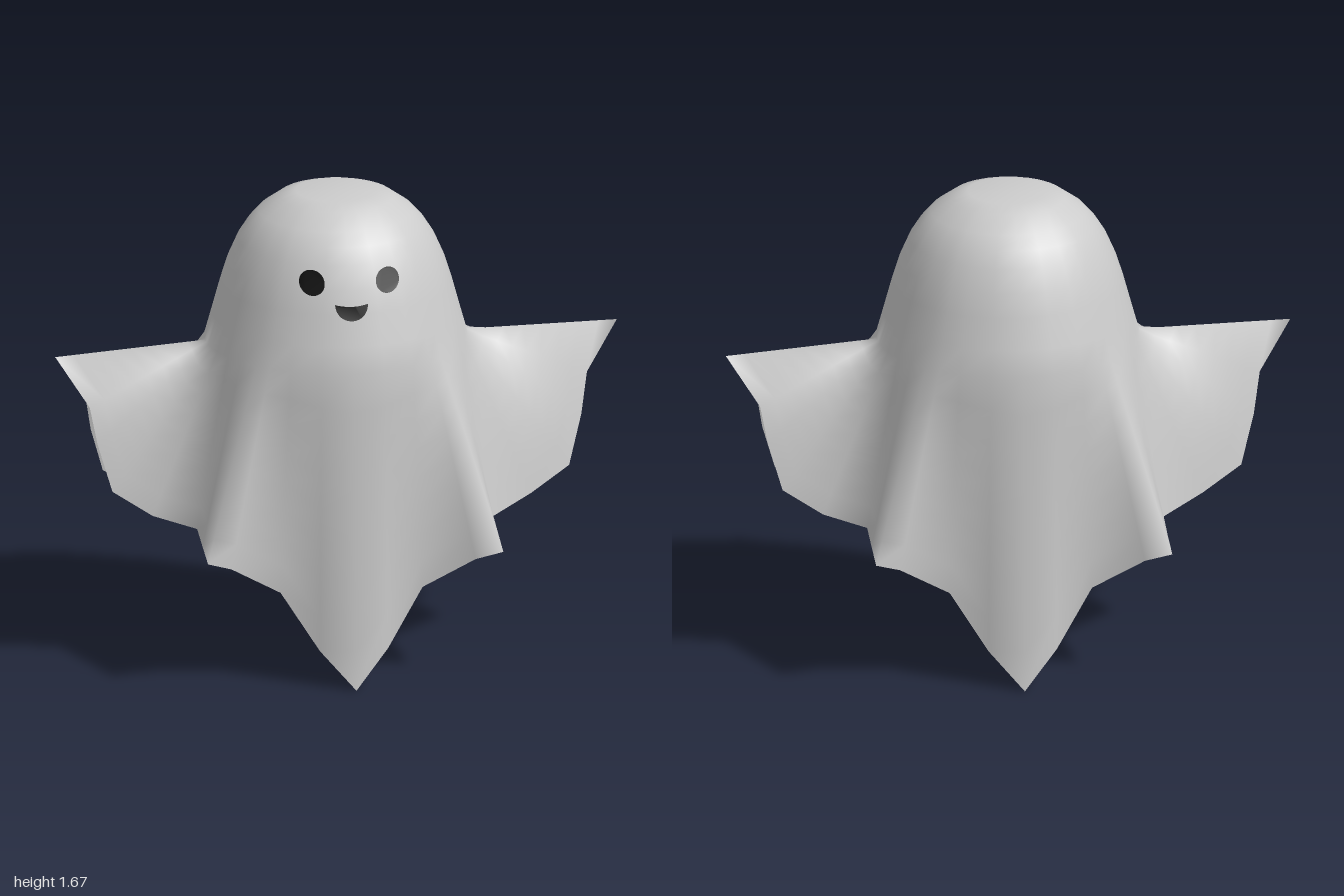
import * as THREE from 'three';

// Round head profile, crown to shoulder: [radius, height]
const HEAD = [[0, 1.67], [0.14, 1.67], [0.2, 1.65], [0.27, 1.6], [0.31, 1.555], [0.345, 1.5],
  [0.38, 1.42], [0.405, 1.34], [0.435, 1.23], [0.46, 1.14]];

// Folds of half the sheet, front tip to back: [angle at the shoulder (90 = front), hem x, y, z]
const FRONT = [[90, 0, 0, 0.525], [76, 0.12, 0.13, 0.46], [62, 0.25, 0.33, 0.4],
  [52, 0.43, 0.44, 0.45], [45, 0.52, 0.48, 0.505]];
const SIDE = [[36, 0.52, 0.5, 0.36], [27, 0.52, 0.52, 0.225]];
const ARM = [[18, 0.67, 0.57, 0.13], [12, 0.81, 0.65, 0.08], [7, 0.86, 0.82, 0.03],
  [3, 0.885, 0.96, -0.01], [0, 1, 1.125, -0.08], [-3, 0.885, 0.95, -0.13],
  [-7, 0.86, 0.82, -0.15], [-12, 0.81, 0.65, -0.165], [-18, 0.67, 0.56, -0.18]];
const DROP_ROWS = 8;

const flipZ = (list) => list.map(([a, x, y, z]) => [-a, x, y, -z]).reverse();

function sheetGeometry() {
  const half = [...FRONT, ...SIDE, ...ARM, ...flipZ(SIDE), ...flipZ(FRONT.slice(1))];
  // the other half is the same, turned by 180 degrees
  const folds = [...half, ...half.map(([a, x, y, z]) => [a + 180, -x, y, -z])];
  const n = folds.length;
  const rows = HEAD.length + DROP_ROWS;
  const pos = [], index = [];
  const shoulder = new THREE.Vector3(), hem = new THREE.Vector3(), p = new THREE.Vector3();
  for (let i = 0; i < rows; i++) {
    for (const [deg, x, y, z] of folds) {
      const a = THREE.MathUtils.degToRad(deg);
      const [r, h] = HEAD[Math.min(i, HEAD.length - 1)];
      shoulder.set(r * Math.cos(a), h, r * Math.sin(a));
      const t = Math.max(0, i - HEAD.length + 1) / DROP_ROWS;
      p.lerpVectors(shoulder, hem.set(x, y, z), t);
      pos.push(p.x, p.y, p.z);
    }
  }
  for (let i = 0; i < rows - 1; i++) {
    for (let j = 0; j < n; j++) {
      const k = (j + 1) % n;
      const a = i * n + j, b = a + n, c = i * n + k, d = c + n;
      if (i > 0) index.push(a, b, c);
      index.push(b, d, c);
    }
  }
  const geo = new THREE.BufferGeometry();
  geo.setAttribute('position', new THREE.Float32BufferAttribute(pos, 3));
  geo.setIndex(index);
  geo.computeVertexNormals();
  return geo;
}

// Head radius at a given height
function headRadius(y) {
  for (let i = 1; i < HEAD.length - 1; i++) {
    const [r0, y0] = HEAD[i], [r1, y1] = HEAD[i + 1];
    if (y <= y0 && y >= y1) return r0 + (r1 - r0) * (y0 - y) / (y0 - y1);
  }
  return HEAD[HEAD.length - 1][0];
}

// Lays a flat outline onto the front of the head
function facePatch(name, shape, material) {
  const geo = new THREE.ShapeGeometry(shape, 24);
  const p = geo.attributes.position;
  for (let i = 0; i < p.count; i++) {
    const x = p.getX(i), r = headRadius(p.getY(i));
    p.setZ(i, Math.sqrt(r * r - x * x) + 0.008);
  }
  geo.computeVertexNormals();
  const mesh = new THREE.Mesh(geo, material);
  mesh.name = name;
  return mesh;
}

export function createModel() {
  const group = new THREE.Group();
  group.name = 'ghost';

  // Draped sheet with arms and pointed hem
  const cloth = new THREE.MeshStandardMaterial({ color: 0xcccccc, side: THREE.DoubleSide });
  const sheet = new THREE.Mesh(sheetGeometry(), cloth);
  sheet.name = 'sheet';
  group.add(sheet);

  // Eyes
  const black = new THREE.MeshStandardMaterial({ color: 0x080808, side: THREE.DoubleSide });
  for (const [name, s] of [['leftEye', 1], ['rightEye', -1]]) {
    const eye = new THREE.Shape().absellipse(s * 0.133, 1.446, 0.043, 0.042, 0, Math.PI * 2);
    group.add(facePatch(name, eye, black));
  }

  // Smiling mouth
  const mouth = new THREE.Shape();
  mouth.moveTo(-0.058, 1.376);
  mouth.bezierCurveTo(-0.055, 1.302, 0.055, 1.302, 0.058, 1.376);
  mouth.quadraticCurveTo(0, 1.362, -0.058, 1.376);
  group.add(facePatch('mouth', mouth, black));

  return group;
}
